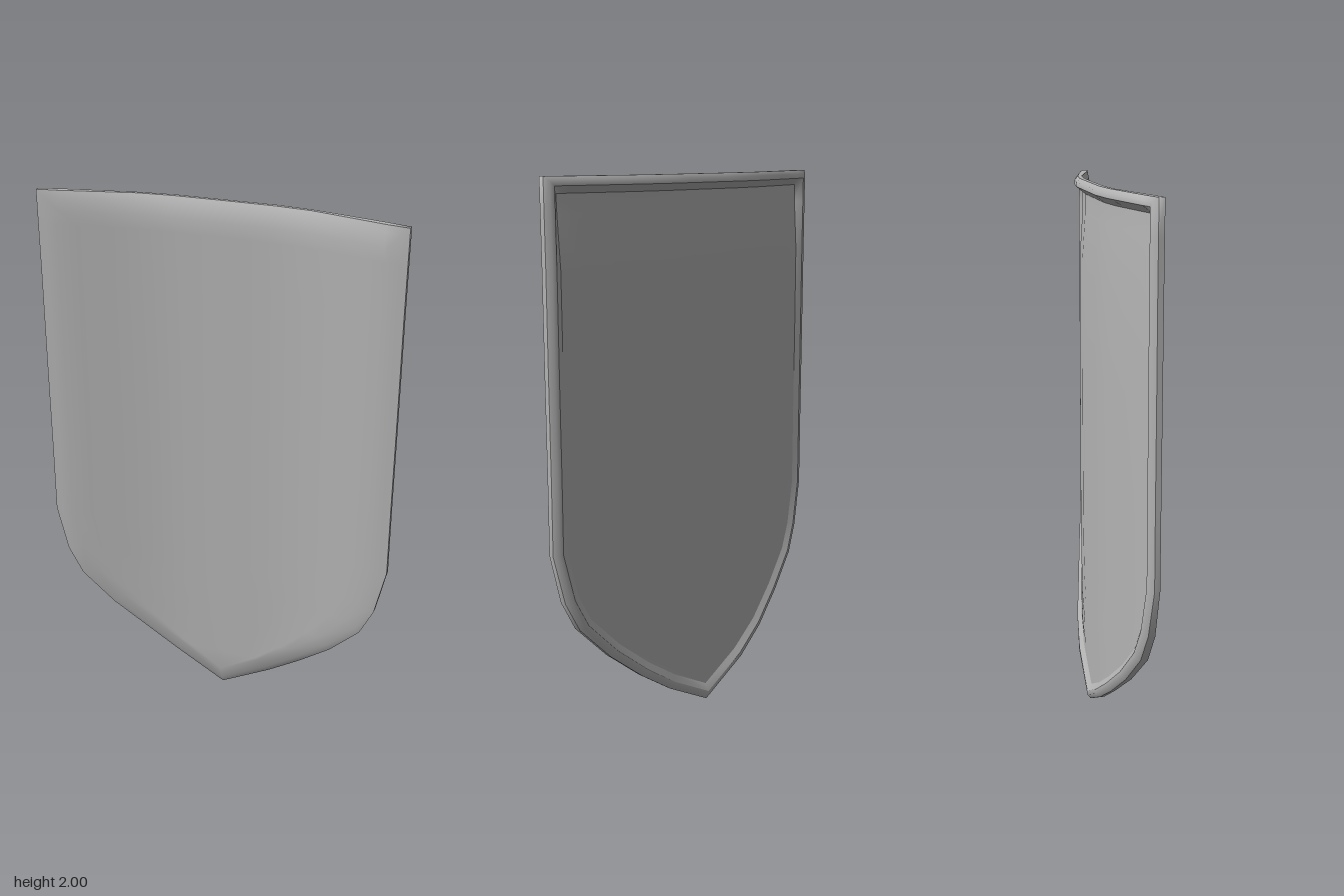
import * as THREE from 'three';
import { mergeVertices } from 'three/addons/utils/BufferGeometryUtils.js';

// Half outline from the top corner down to the tip
const SIDE = [
  [0.667, 2], [0.667, 1.88], [0.667, 1.7], [0.669, 1.35], [0.67, 1], [0.672, 0.73], [0.632, 0.55],
  [0.58, 0.44], [0.46, 0.31], [0.33, 0.2], [0.2, 0.11], [0, 0],
];
// Column positions across the shield, as fractions of the half width
const COLS = [-1, -0.88, -0.68, -0.47, -0.28, -0.14, 0, 0.14, 0.28, 0.47, 0.68, 0.88, 1];

// Depth curves across the width: [x, z]
const FRONT = [[0, -0.01], [0.2, -0.008], [0.32, 0.003], [0.6, 0.06], [0.68, 0.063]];
const FRONT_EDGE = [[0, -0.038], [0.2, -0.036], [0.32, -0.024], [0.62, 0.054], [0.68, 0.062]];
const BACK = [[0, -0.065], [0.19, -0.065], [0.31, -0.052], [0.56, 0], [0.65, 0.024], [0.68, 0.032]];

function depth(curve, x) {
  const ax = Math.abs(x);
  for (let i = 1; i < curve.length; i++) {
    const [x0, z0] = curve[i - 1], [x1, z1] = curve[i];
    if (ax <= x1) return z0 + (z1 - z0) * (ax - x0) / (x1 - x0);
  }
  return curve[curve.length - 1][1];
}

const frontZ = (x) => depth(FRONT, x);
const edgeZ = (x) => depth(FRONT_EDGE, x);
const rimZ = (x) => depth(BACK, x);
const panelZ = (x, y) => rimZ(x) + 0.016 + 0.015 * THREE.MathUtils.smoothstep(y, 1.65, 1.95);

// Closed outline, clockwise seen from the front
const outline = [
  ...COLS.map((f) => [f * SIDE[0][0], 2]),
  ...SIDE.slice(1),
  ...SIDE.slice(1, -1).reverse().map(([x, y]) => [-x, y]),
];

// Outline moved inwards with mitred corners, given depth by a function
function ring(inset, zAt) {
  const n = outline.length;
  const normal = (a, b) => {
    const l = Math.hypot(b[0] - a[0], b[1] - a[1]);
    return [(b[1] - a[1]) / l, (a[0] - b[0]) / l];
  };
  return outline.map((p, i) => {
    const u = normal(outline[(i + n - 1) % n], p);
    const v = normal(p, outline[(i + 1) % n]);
    const k = inset / (1 + u[0] * v[0] + u[1] * v[1]);
    const x = p[0] + (u[0] + v[0]) * k, y = p[1] + (u[1] + v[1]) * k;
    return [x, y, zAt(x, y)];
  });
}

const quad = (out, a, b, c, d) => out.push(...a, ...b, ...c, ...a, ...c, ...d);

// Joins successive rings
function bands(out, rings) {
  for (let r = 1; r < rings.length; r++) {
    const a = rings[r - 1], b = rings[r];
    a.forEach((p, i) => {
      const j = (i + 1) % a.length;
      quad(out, p, b[i], b[j], a[j]);
    });
  }
}

// Fills a ring with rows running from side to side
function fill(out, border, zAt, back) {
  const c = COLS.length, n = border.length;
  const rows = SIDE.map((_, r) => {
    if (r === 0) return border.slice(0, c);
    const right = border[c - 1 + r], left = border[(n - r) % n];
    return COLS.map((f, k) => {
      if (k === c - 1 || r === SIDE.length - 1) return right;
      if (k === 0) return left;
      return [f * right[0], right[1], zAt(f * right[0], right[1])];
    });
  });
  for (let r = 1; r < rows.length; r++) {
    for (let k = 1; k < c; k++) {
      const q = [rows[r - 1][k - 1], rows[r][k - 1], rows[r][k], rows[r - 1][k]];
      quad(out, ...(back ? q.reverse() : q));
    }
  }
}

export function createModel() {
  const group = new THREE.Group();
  group.name = 'shield';
  const steel = new THREE.MeshStandardMaterial({ color: 0xb4b4b4 });
  steel.name = 'grey steel';

  // Smooth within each part, sharp between parts
  const add = (name, positions) => {
    let g = new THREE.BufferGeometry();
    g.setAttribute('position', new THREE.Float32BufferAttribute(positions, 3));
    g = mergeVertices(g, 1e-5);
    g.computeVertexNormals();
    const mesh = new THREE.Mesh(g, steel);
    mesh.name = name;
    group.add(mesh);
  };

  const edge = ring(0, edgeZ);
  const outer = ring(0, (x) => rimZ(x) + 0.012);
  const rimOuter = ring(0.014, rimZ);
  const rimInner = ring(0.03, rimZ);
  const panelBorder = ring(0.055, panelZ);

  // Front face with softly rounded border
  const front = [];
  const soft = ring(0.025, (x) => edgeZ(x) * 0.4 + frontZ(x) * 0.6);
  const inner = ring(0.07, frontZ);
  bands(front, [edge, soft, inner]);
  fill(front, inner, frontZ, false);
  add('frontFace', front);

  // Outer edge
  const side = [];
  bands(side, [outer, edge]);
  add('outerEdge', side);

  // Raised rim on the back
  const rim = [];
  bands(rim, [rimInner, rimOuter, outer]);
  add('backRim', rim);

  // Sloping inner wall of the rim
  const wall = [];
  bands(wall, [panelBorder, rimInner]);
  add('rimInnerWall', wall);

  // Recessed back panel
  const panel = [];
  fill(panel, panelBorder, panelZ, true);
  add('backPanel', panel);

  return group;
}
